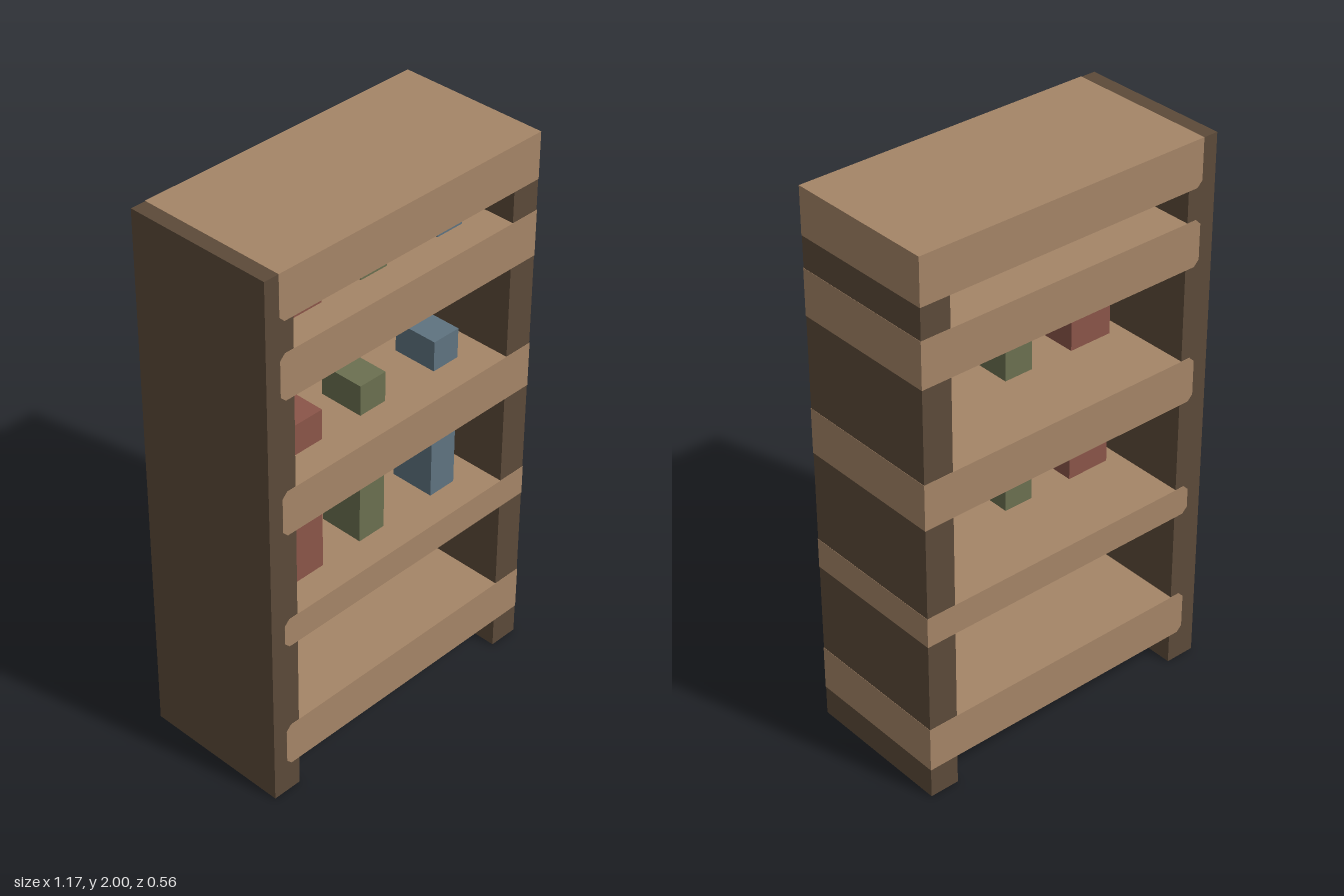
import * as THREE from 'three';

const U = 1 / 18; // construction unit
const E = 0.001; // keeps shelf faces just proud of the panels

const mat = (name, color) => {
  const m = new THREE.MeshStandardMaterial({ color });
  m.name = name;
  return m;
};

export function createModel() {
  const group = new THREE.Group();
  group.name = 'shelfUnit';
  const darkWood = mat('darkWood', 0x5c4a39);
  const lightWood = mat('lightWood', 0xa58567);
  const red = mat('brickRed', 0x8b5549);
  const green = mat('mossGreen', 0x6b7050);
  const blue = mat('slateBlue', 0x5f7380);

  // Box given by its minimum and maximum corners
  const box = (name, material, x0, x1, y0, y1, z0, z1) => {
    const mesh = new THREE.Mesh(new THREE.BoxGeometry(x1 - x0, y1 - y0, z1 - z0), material);
    mesh.position.set((x0 + x1) / 2, (y0 + y1) / 2, (z0 + z1) / 2);
    mesh.name = name;
    group.add(mesh);
  };

  // Side panels
  const halfW = 10.5 * U, halfD = 5 * U;
  box('rightPanel', darkWood, -halfW, -8.5 * U, 0, 2 - E, -halfD + E, halfD - E);
  box('leftPanel', darkWood, 8.5 * U, halfW - E, 0, 2 - E, -halfD + E, halfD - E);

  // Boards: chamfered where they end inside one panel, flush with the other
  const board = (name, y0, y1, squareTop) => {
    const x0 = -9.5 * U, c = 0.02;
    const s = new THREE.Shape();
    s.moveTo(x0 + c, y0);
    s.lineTo(halfW, y0);
    s.lineTo(halfW, y1);
    if (squareTop) s.lineTo(x0, y1);
    else {
      s.lineTo(x0 + c, y1);
      s.lineTo(x0, y1 - c);
    }
    s.lineTo(x0, y0 + c);
    s.closePath();
    const geo = new THREE.ExtrudeGeometry(s, { depth: 2 * halfD, bevelEnabled: false });
    geo.translate(0, 0, -halfD);
    const mesh = new THREE.Mesh(geo, lightWood);
    mesh.name = name;
    group.add(mesh);
  };
  board('bottomShelf', 2 * U, 5 * U);
  board('lowerShelf', 11 * U, 13 * U);
  board('middleShelf', 19 * U, 22 * U);
  board('upperShelf', 28 * U, 31 * U);
  board('topBoard', 33 * U, 36 * U, true);

  // Three goods standing on each of the upper shelves
  for (const [level, y, h] of [['lower', 13, 4], ['middle', 22, 2], ['upper', 31, 2]]) {
    for (const [name, material, x, w] of [['RedBox', red, -7.5, 3], ['GreenBox', green, -1.5, 2], ['BlueBox', blue, 4.5, 2]]) {
      box(level + name, material, x * U, (x + w) * U, y * U, (y + h) * U, 0, 3 * U);
    }
  }
  return group;
}
